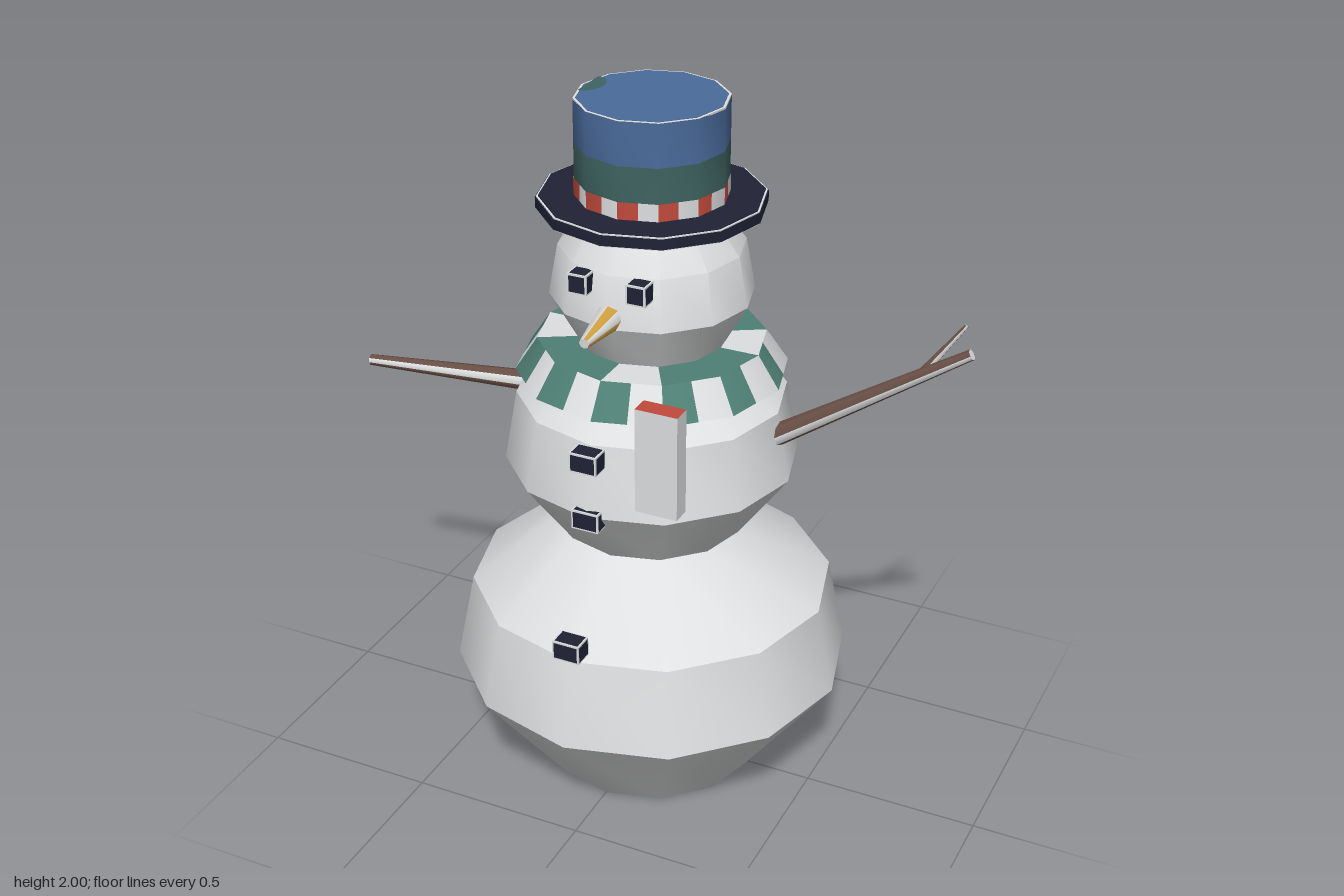
import * as THREE from 'three';
import { toCreasedNormals } from 'three/addons/utils/BufferGeometryUtils.js';

const material = (name, color, side = THREE.FrontSide) => {
  const m = new THREE.MeshStandardMaterial({ color, side });
  m.name = name;
  return m;
};

export function createModel() {
  const snow = material('snow white', 0xdedfe0, THREE.DoubleSide);
  const green = material('scarf green', 0x4f8075, THREE.DoubleSide);
  const navy = material('coal navy', 0x202236);
  const blue = material('hat blue', 0x4b6b9b);
  const teal = material('hat teal', 0x3f6461);
  const red = material('red', 0xc24a3c);
  const gold = material('nose gold', 0xd0a040);
  const brown = material('twig brown', 0x6b5147);

  const model = new THREE.Group();
  model.name = 'snowman';
  const add = (name, geometry, mat, parent = model) => {
    const mesh = new THREE.Mesh(geometry, mat);
    mesh.name = name;
    parent.add(mesh);
    return mesh;
  };
  const group = (name) => {
    const g = new THREE.Group();
    g.name = name;
    model.add(g);
    return g;
  };
  const lathe = (points, segments = 12) =>
    new THREE.LatheGeometry(points.map(([r, y]) => new THREE.Vector2(r, y)), segments);
  const solid = (points) => toCreasedNormals(lathe(points), THREE.MathUtils.degToRad(35));

  // Twelve-sided band whose faces are each half one colour, half the other
  const stripedBand = (r0, y0, r1, y1) => {
    const geo = lathe([[r0, y0], [r1, y1]], 24);
    const pos = geo.attributes.position;
    const inset = Math.cos(Math.PI / 12);
    for (let i = 0; i < pos.count; i++) {
      if (Math.floor(i / 2) % 2) pos.setXYZ(i, pos.getX(i) * inset, pos.getY(i), pos.getZ(i) * inset);
    }
    for (let i = 0; i < 24; i++) geo.addGroup(i * 6, 6, i % 2);
    return geo;
  };

  // Tapered rod between two points, with every nth side in the second material
  const rod = (name, from, to, r0, r1, sides, every, mats, parent) => {
    const a = new THREE.Vector3(...from), b = new THREE.Vector3(...to);
    const dir = b.clone().sub(a);
    const geo = new THREE.CylinderGeometry(r1, r0, dir.length(), sides);
    geo.clearGroups();
    for (let i = 0; i < sides; i++) geo.addGroup(i * 6, 6, i % every ? 0 : 1);
    geo.addGroup(sides * 6, geo.index.count - sides * 6, 1);
    const mesh = add(name, geo, mats, parent);
    mesh.position.copy(a).add(b).multiplyScalar(0.5);
    mesh.quaternion.setFromUnitVectors(new THREE.Vector3(0, 1, 0), dir.normalize());
  };

  // Coal block with pale edges: a core and one dark slab pushed out along each axis
  const coal = (name, x, y, z, w, h, d) => {
    const g = group(name);
    g.position.set(x, y, z);
    const e = 0.01, o = 0.002;
    add('edges', new THREE.BoxGeometry(w, h, d), snow, g);
    add('sideFaces', new THREE.BoxGeometry(w + o, h - e, d - e), navy, g);
    add('topFaces', new THREE.BoxGeometry(w - e, h + o, d - e), navy, g);
    add('frontFaces', new THREE.BoxGeometry(w - e, h - e, d + o), navy, g);
  };

  // Snowballs
  add('lowerBody', solid([[0, 0], [0.31, 0], [0.56, 0.33], [0.51, 0.58], [0.26, 0.78], [0, 0.78]]), snow);
  add('middleBody', solid([[0.26, 0.77], [0.405, 0.97], [0.37, 1.17], [0.2, 1.32], [0, 1.32]]), snow);
  add('head', solid([[0.19, 1.31], [0.275, 1.46], [0.25, 1.6], [0.165, 1.71], [0, 1.71]]), snow);

  // Face and buttons
  for (const s of [-1, 1]) coal(s > 0 ? 'leftEye' : 'rightEye', s * 0.083, 1.57, 0.25, 0.055, 0.055, 0.05);
  coal('topButton', 0, 1.137, 0.393, 0.078, 0.055, 0.055);
  coal('middleButton', 0, 0.962, 0.385, 0.078, 0.055, 0.055);
  coal('bottomButton', 0, 0.624, 0.507, 0.078, 0.055, 0.058);
  rod('nose', [0, 1.489, 0.22], [0, 1.475, 0.398], 0.043, 0.014, 8, 2, [gold, snow], model);

  // Scarf: sloped striped collar, patched top and hanging end
  const scarf = group('scarf');
  add('collar', stripedBand(0.37, 1.24, 0.31, 1.33), [green, snow], scarf);
  const top = lathe([[0.31, 1.33], [0.19, 1.33]]);
  for (let i = 0; i < 12; i++) top.addGroup(i * 6, 6, i % 3 === 0 ? 1 : 0);
  add('collarTop', top, [green, snow], scarf);
  add('hangingEnd', new THREE.BoxGeometry(0.12, 0.3, 0.055),
    [snow, snow, red, snow, snow, red], scarf).position.set(0.184, 1.152, 0.338);

  // Hat
  const hat = group('hat');
  const disc = (name, r, y0, y1, mat) =>
    add(name, solid([[0, y0], [r, y0], [r, y1], [0, y1]]), mat, hat);
  disc('brimEdges', 0.302, 1.702, 1.736, snow);
  disc('brimRim', 0.305, 1.705, 1.733, navy);
  disc('brimFaces', 0.297, 1.7, 1.738, navy);
  add('hatBand', stripedBand(0.205, 1.735, 0.205, 1.785), [red, snow], hat);
  disc('lowerCrown', 0.203, 1.78, 1.88, teal);
  disc('upperCrown', 0.203, 1.88, 1.998, blue);
  disc('crownEdge', 0.203, 1.994, 1.999, snow);
  disc('crownTop', 0.196, 1.99, 2, blue);

  // Half-round patch on the crown top
  const patch = add('crownPatch', new THREE.CircleGeometry(0.06, 12, -Math.PI / 2, Math.PI), teal, hat);
  patch.rotation.x = -Math.PI / 2;
  patch.scale.x = 0.75;
  patch.position.set(-0.188, 2.001, -0.01);

  // Stick arms
  const bark = [brown, snow];
  rod('rightArm', [-0.34, 1.106, -0.003], [-0.875, 1.084, 0.047], 0.031, 0.016, 8, 4, bark, model);
  const leftArm = group('leftArm');
  rod('stick', [0.36, 1.1, 0], [0.87, 1.427, -0.056], 0.031, 0.015, 8, 4, bark, leftArm);
  rod('twig', [0.74, 1.345, -0.045], [0.838, 1.483, -0.098], 0.014, 0.006, 6, 3, bark, leftArm);

  return model;
}
